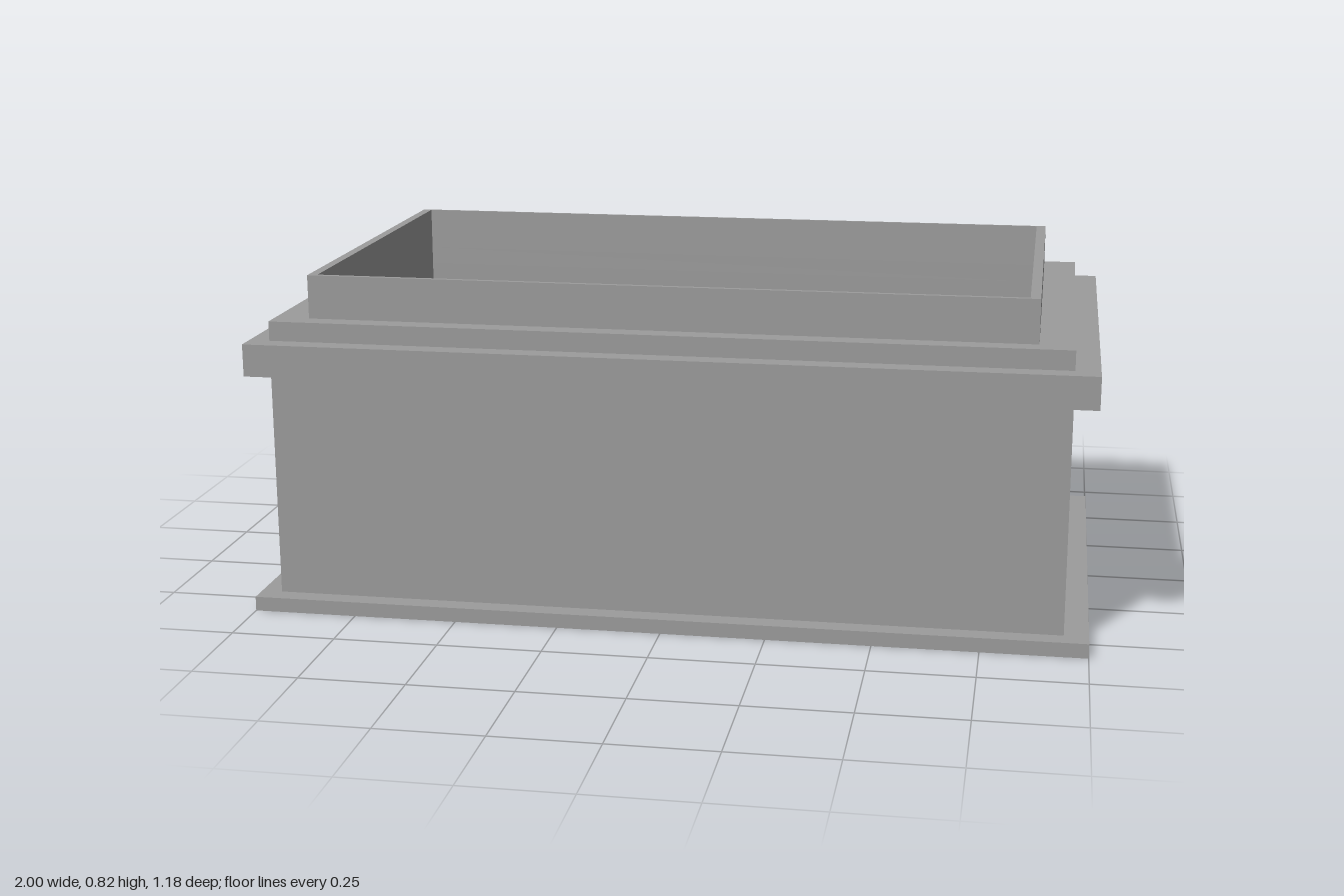
import * as THREE from 'three';

const material = new THREE.MeshStandardMaterial({ color: 0x9c9c9c });

// Inner cavity (half sizes and centre) and its floor height
const CAVITY = { hx: 0.84, hz: 0.482, x: -0.004, z: 0.002 };
const FLOOR = 0.3;

function rectangle(target, { hx, hz, x = 0, z = 0 }) {
  target.moveTo(x - hx, -z - hz);
  target.lineTo(x + hx, -z - hz);
  target.lineTo(x + hx, -z + hz);
  target.lineTo(x - hx, -z + hz);
  target.closePath();
  return target;
}

// Rectangular slab between two heights, solid or with the cavity cut through
function slab(name, outline, y0, y1, open) {
  const shape = rectangle(new THREE.Shape(), outline);
  if (open) shape.holes.push(rectangle(new THREE.Path(), CAVITY));
  const geometry = new THREE.ExtrudeGeometry(shape, { depth: y1 - y0, bevelEnabled: false });
  geometry.rotateX(-Math.PI / 2);
  geometry.translate(0, y0, 0);
  const mesh = new THREE.Mesh(geometry, material);
  mesh.name = name;
  return mesh;
}

export function createModel() {
  const group = new THREE.Group();
  group.name = 'openBox';

  const plate = { hx: 1, hz: 0.592 };
  const body = { hx: 0.946, hz: 0.54, x: -0.004, z: 0.004 };
  const rim = { hx: 0.863, hz: 0.491, x: -0.003, z: 0.005 };

  group.add(
    // Foot plate and solid lower body
    slab('basePlate', plate, 0, 0.035, false),
    slab('lowerBody', body, 0.035, FLOOR, false),
    // Hollow upper body and stepped mouldings
    slab('upperBody', body, FLOOR, 0.587, true),
    slab('cornice', plate, 0.587, 0.665, true),
    slab('corniceStep', body, 0.665, 0.712, true),
    // Thin raised rim around the opening
    slab('rim', rim, 0.712, 0.817, true)
  );
  return group;
}
